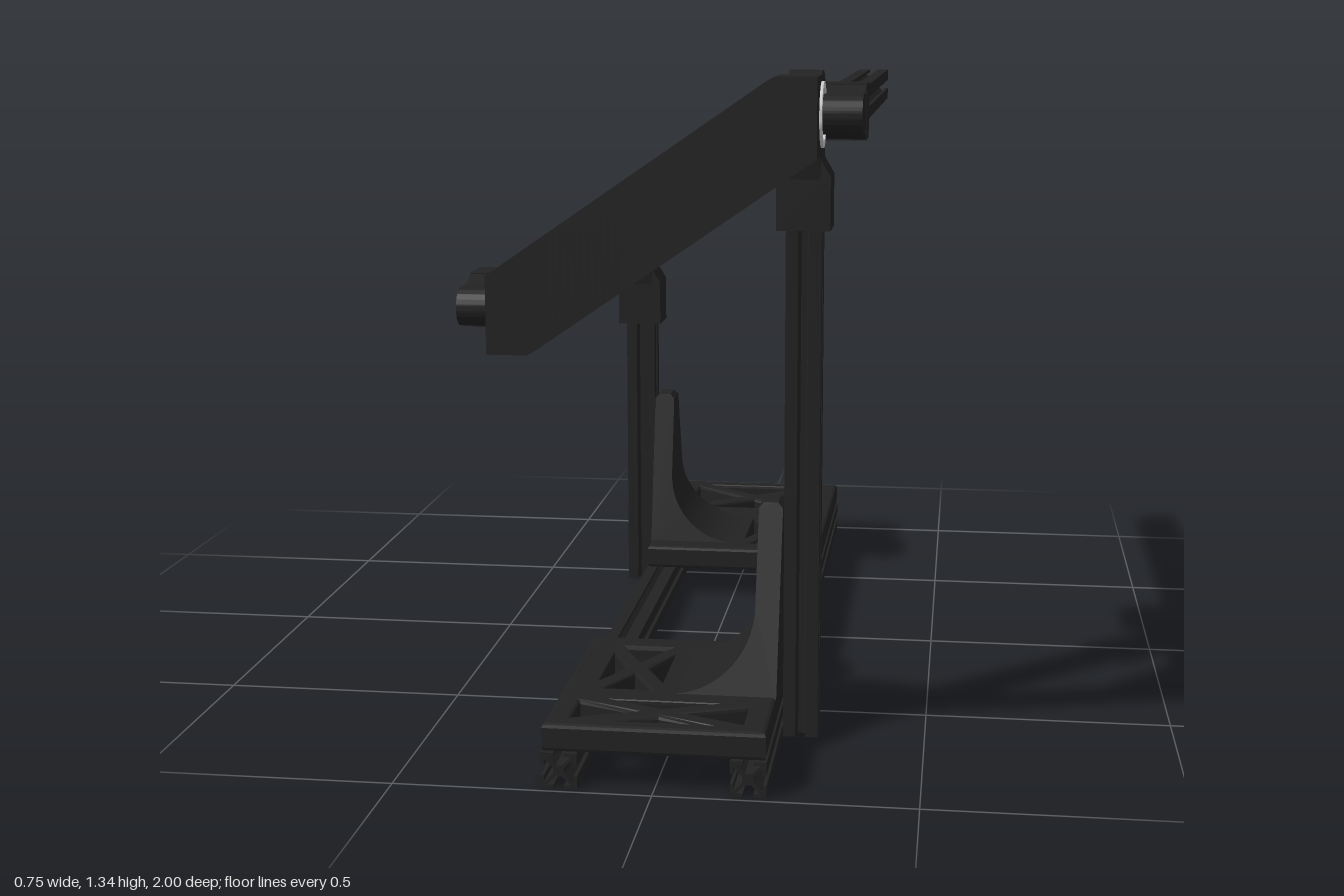
import * as THREE from 'three';
import { toCreasedNormals } from 'three/addons/utils/BufferGeometryUtils.js';

const black = new THREE.MeshStandardMaterial({ color: 0x222222 });
const steel = new THREE.MeshStandardMaterial({ color: 0xcccccc });

function add(parent, name, geometry, material = black) {
  const mesh = new THREE.Mesh(geometry, material);
  mesh.name = name;
  parent.add(mesh);
  return mesh;
}

function box(x0, x1, y0, y1, z0, z1) {
  return new THREE.BoxGeometry(x1 - x0, y1 - y0, z1 - z0)
    .translate((x0 + x1) / 2, (y0 + y1) / 2, (z0 + z1) / 2);
}

const shapeOf = pts => new THREE.Shape(pts.map(p => new THREE.Vector2(p[0], p[1])));
const extrude = (shape, depth) => new THREE.ExtrudeGeometry(shape, { depth, bevelEnabled: false, curveSegments: 24 });

// Extrude a (z, y) outline from x0 to x1
function sideExtrude(shape, x0, x1) {
  return toCreasedNormals(extrude(shape, x1 - x0).rotateY(-Math.PI / 2).translate(x1, 0, 0), 0.5);
}

// Slotted square bar along z, from z = 0
function slottedBar(length) {
  const h = 0.035, s = 0.01, c = 0.022, l = 0.028;
  let side = [[-h, h], [-s, h], [-s, l], [-c, l], [-c, 0.0265], [-0.006, 0.011],
    [0.006, 0.011], [c, 0.0265], [c, l], [s, l], [s, h]];
  const pts = [];
  for (let i = 0; i < 4; i++) {
    pts.push(...side);
    side = side.map(([x, y]) => [y, -x]);
  }
  return extrude(shapeOf(pts), length);
}

// Four triangular openings that leave an X brace, each inset evenly
function braceHoles(x0, x1, z0, z1, inset) {
  const corners = [[x0, z0], [x1, z0], [x1, z1], [x0, z1]].map(p => new THREE.Vector2(...p));
  const mid = new THREE.Vector2((x0 + x1) / 2, (z0 + z1) / 2);
  return corners.map((a, i) => {
    const b = corners[(i + 1) % 4];
    const la = b.distanceTo(mid), lb = a.distanceTo(mid), lm = a.distanceTo(b);
    const sum = la + lb + lm;
    const centre = new THREE.Vector2()
      .addScaledVector(a, la / sum).addScaledVector(b, lb / sum).addScaledVector(mid, lm / sum);
    const r = Math.abs((b.x - a.x) * (mid.y - a.y) - (b.y - a.y) * (mid.x - a.x)) / sum;
    const k = Math.max(0.2, (r - inset) / r);
    return new THREE.Path([a, b, mid].map(p => p.clone().sub(centre).multiplyScalar(k).add(centre)));
  });
}

function ring(x, y, z) {
  const shape = new THREE.Shape().absarc(0, 0, 0.06, 0, Math.PI * 2);
  shape.holes.push(new THREE.Path().absarc(0, 0, 0.047, 0, Math.PI * 2));
  return sideExtrude(shape, x - 0.004, x + 0.004).translate(0, y, z);
}

const pin = (r, x0, x1, y, z) => new THREE.CylinderGeometry(r, r, x1 - x0, 32)
  .rotateZ(Math.PI / 2).translate((x0 + x1) / 2, y, z);

// Foot plate, gusset, post and pivot, with the post on local z = 0
function createSupport(name, postTop, z0, z1, w0, w1) {
  const g = new THREE.Group();
  g.name = name;

  // Braced foot plate
  const e = 0.008, hw = 0.213 - e;
  const plate = shapeOf([[-hw, -z0 - e], [hw, -z0 - e], [hw, -z1 + e], [-hw, -z1 + e]]);
  const window = w1 - w0 > 0.2 ? [-0.13, 0.2] : [-0.14, 0.16];
  plate.holes.push(
    ...braceHoles(-0.165, -0.005, -window[1], -window[0], 0.014),
    ...braceHoles(-0.185, 0.185, -w1, -w0, 0.014));
  add(g, 'footPlate', new THREE.ExtrudeGeometry(plate, {
    depth: 0.055 - 2 * e, bevelSize: e, bevelThickness: e, bevelSegments: 2,
  }).rotateX(-Math.PI / 2).translate(0, 0.07 + e, 0));

  // Gusset with a curved inner edge, tapering in z towards its top
  const profile = new THREE.Shape();
  profile.moveTo(0.213, 0.12);
  profile.lineTo(0.213, 0.475);
  profile.lineTo(0.203, 0.486);
  profile.lineTo(0.175, 0.486);
  profile.lineTo(0.165, 0.475);
  profile.lineTo(0.165, 0.29);
  profile.absarc(0, 0.29, 0.165, 0, -Math.PI / 2, true);
  profile.lineTo(0, 0.12);
  const gusset = extrude(profile, 1);
  const p = gusset.attributes.position;
  for (let i = 0; i < p.count; i++) {
    const t = (p.getY(i) - 0.125) / 0.36;
    p.setZ(i, p.getZ(i) < 0.5
      ? THREE.MathUtils.lerp(-0.115, -0.033, t)
      : THREE.MathUtils.lerp(0.16, 0.033, t));
  }
  add(g, 'gusset', toCreasedNormals(gusset, 0.5));

  add(g, 'post', slottedBar(postTop).rotateX(-Math.PI / 2).translate(0.25, 0, 0));

  // Socket over the post, narrowing at its shoulders
  const socket = new THREE.BoxGeometry(0.105, 0.14, 0.1, 1, 2, 1);
  const q = socket.attributes.position;
  for (let i = 0; i < q.count; i++) {
    if (Math.abs(q.getY(i)) < 0.01) q.setY(i, 0.035);
    else if (q.getY(i) > 0.05) q.setX(i, Math.sign(q.getX(i)) * 0.032);
  }
  add(g, 'postSocket', toCreasedNormals(socket.translate(0.25, postTop + 0.07, 0), 0.4));

  // Rounded pivot head with its bearing ring and pin
  const py = postTop + 0.237;
  const head = new THREE.Shape();
  head.moveTo(-0.05, postTop + 0.1);
  head.lineTo(0.05, postTop + 0.1);
  head.lineTo(0.07, py - 0.02);
  head.absarc(0, py, 0.07, 0, Math.PI, false);
  head.lineTo(-0.07, py - 0.02);
  add(g, 'pivotHead', sideExtrude(head, 0.218, 0.283));
  add(g, 'pivotBearing', ring(0.216, py, 0), steel);
  add(g, 'pivotPin', pin(0.035, 0.205, 0.3, py, 0));

  // Clamp block beside the arm
  add(g, 'armClamp', box(0.18, 0.291, py - 0.037, py + 0.037, -0.24, -0.08));
  for (const z of [-0.2, -0.12]) add(g, 'clampScrew', pin(0.01, 0.176, 0.182, py, z));
  return g;
}

// Slanted handle made of cross-sections along x, thick at both ends
function createHandle() {
  const pos = [], idx = [], n = 16, ring = n + 3, steps = 48;
  for (let i = 0; i <= steps; i++) {
    const x = -0.3 + 0.6 * i / steps;
    const hi = Math.min(1.337, 0.977 + 0.69 * (x + 0.3));
    const lo = Math.max(0.833, 1.193 + 0.69 * (x - 0.3));
    const t = THREE.MathUtils.smoothstep(Math.abs(x), 0.1, 0.25);
    const back = 0.965 - 0.14 * t, rz = 0.012 + 0.058 * t;
    pos.push(x, lo, 1, x, hi, 1);
    for (let j = 0; j <= n; j++) {
      const a = Math.PI * j / n;
      pos.push(x, (hi + lo) / 2 + Math.cos(a) * (hi - lo) / 2, back + rz - Math.sin(a) * rz);
    }
  }
  const last = steps * ring;
  for (let j = 0; j < ring; j++) {
    const k = (j + 1) % ring;
    for (let i = 0; i < steps; i++) {
      const a = i * ring, b = a + ring;
      idx.push(a + j, b + j, a + k, b + j, b + k, a + k);
    }
    idx.push(0, j, k, last, last + k, last + j);
  }
  const geo = new THREE.BufferGeometry();
  geo.setAttribute('position', new THREE.Float32BufferAttribute(pos, 3));
  geo.setIndex(idx);
  return toCreasedNormals(geo, 0.5);
}

export function createModel() {
  const model = new THREE.Group();
  model.name = 'linkageFrame';

  for (const s of [-1, 1]) add(model, 'baseRail', slottedBar(1.985).translate(s * 0.18, 0.035, -1));

  // Tall front support, and the short back one turned round
  const front = createSupport('frontSupport', 1.03, -0.185, 0.358, 0.19, 0.34);
  front.position.z = 0.623;
  const rear = createSupport('backSupport', 0.668, -0.171, 0.539, 0.23, 0.51);
  rear.position.z = -0.461;
  rear.rotation.y = Math.PI;
  model.add(front, rear);

  // Arms with the hinge pieces that hold the handle
  for (const [s, y, name] of [[1, 1.266, 'upperArm'], [-1, 0.904, 'lowerArm']]) {
    const arm = new THREE.Group();
    arm.name = name;
    add(arm, 'armRail', slottedBar(1.255).translate(s * 0.325, y, -0.52));
    const span = (a, b) => (s > 0 ? [a, b] : [-b, -a]);
    add(arm, 'hingeBlock', box(...span(0.272, 0.376), y - 0.052, y + 0.052, 0.715, 0.805));
    const neck = new THREE.Shape();
    neck.moveTo(0.8, y - 0.052);
    neck.lineTo(0.835, y - 0.036);
    neck.absarc(0.885, y, 0.036, -Math.PI / 2, Math.PI / 2, false);
    neck.lineTo(0.835, y + 0.036);
    neck.lineTo(0.8, y + 0.052);
    add(arm, 'hingeNeck', sideExtrude(neck, ...span(0.303, 0.375)));
    add(arm, 'hingeBearing', ring(s * 0.301, y, 0.893), steel);
    model.add(arm);
  }

  add(model, 'handle', createHandle());
  return model;
}
